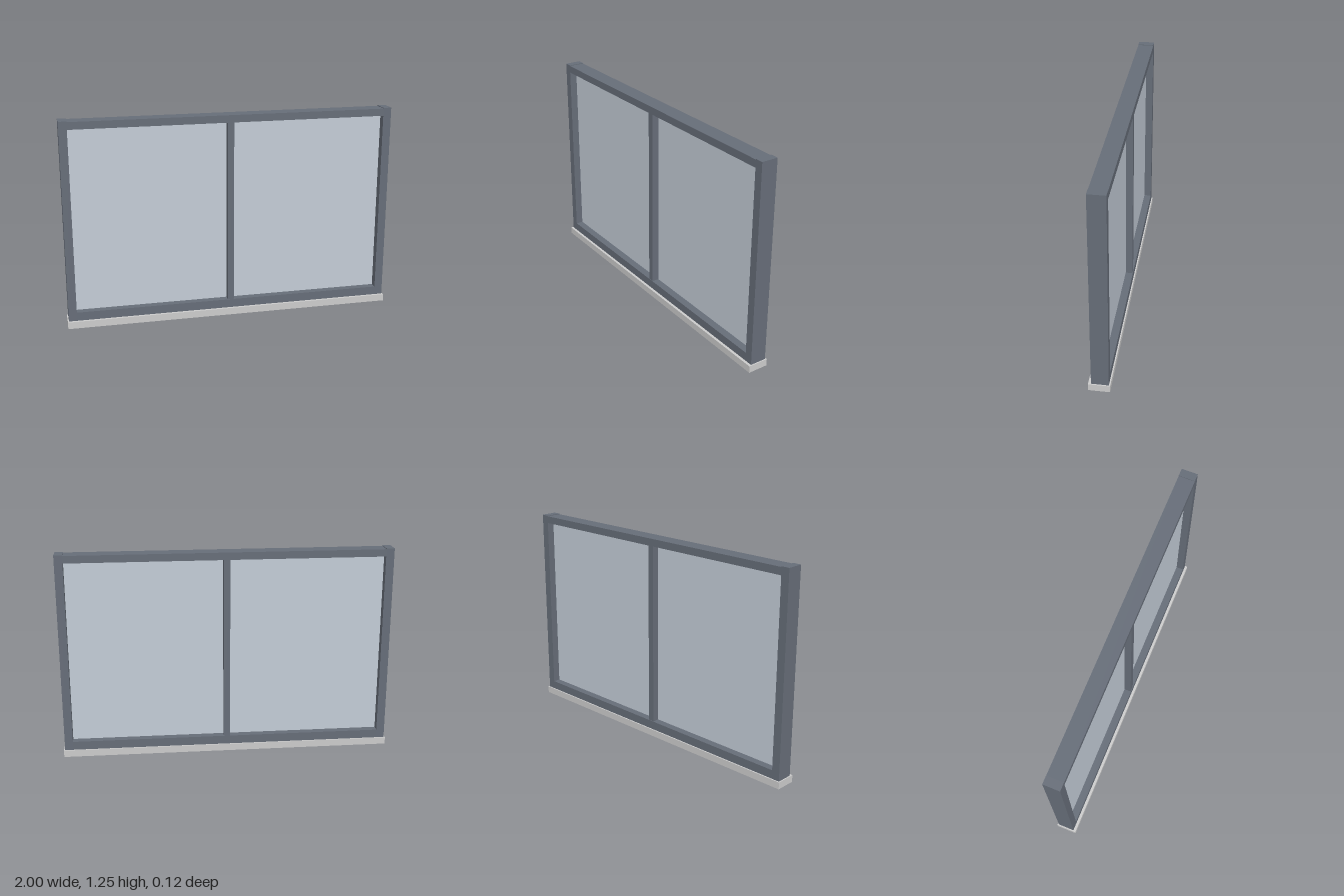
import * as THREE from 'three';

const frameMat = new THREE.MeshStandardMaterial({ color: 0x666d78 });
const glassMat = new THREE.MeshStandardMaterial({ color: 0xc3ccd6 });
const sillMat = new THREE.MeshStandardMaterial({ color: 0xcccccc });

// Box given by its extents in x and y, plus depth and centre in z
function bar(name, x0, x1, y0, y1, depth, z, material) {
  const mesh = new THREE.Mesh(new THREE.BoxGeometry(x1 - x0, y1 - y0, depth), material);
  mesh.name = name;
  mesh.position.set((x0 + x1) / 2, (y0 + y1) / 2, z);
  return mesh;
}

export function createModel() {
  const model = new THREE.Group();
  model.name = 'slidingWindow';

  const outer = 0.993, inner = 0.944;   // jamb faces
  const low = 0.094, high = 1.202;      // opening height
  const sillTop = 0.042, top = 1.25;
  const halfMullion = 0.019;
  const depth = 0.099, z = -0.004;      // frame sits slightly behind the sill centre

  // Sill
  model.add(bar('sill', -1, 1, 0, sillTop, 0.123, 0, sillMat));

  // Outer frame
  model.add(bar('bottomRail', -inner, inner, sillTop, low, depth, z, frameMat));
  model.add(bar('topRail', -inner, inner, high, top - 0.004, depth, z, frameMat));
  model.add(bar('leftJamb', inner, outer, sillTop, top, depth, z, frameMat));
  model.add(bar('rightJamb', -outer, -inner, sillTop, top, depth, z, frameMat));

  // Centre mullion
  model.add(bar('mullion', -halfMullion, halfMullion, low, high, 0.093, z, frameMat));

  // Glass panes
  model.add(bar('leftPane', halfMullion, inner, low, high, 0.008, z, glassMat));
  model.add(bar('rightPane', -inner, -halfMullion, low, high, 0.008, z, glassMat));

  return model;
}
